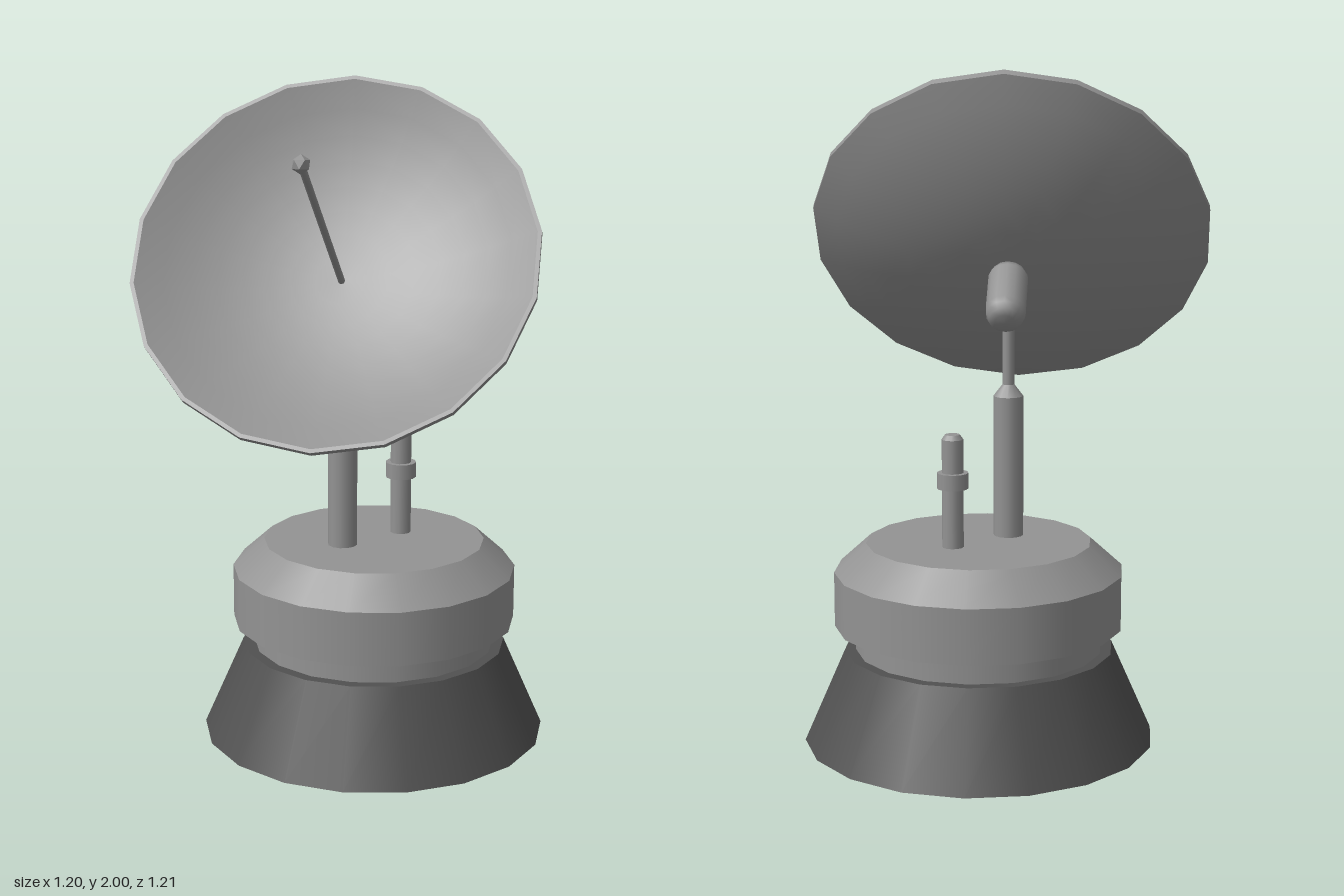
import * as THREE from 'three';

const grey = new THREE.MeshStandardMaterial({ color: 0x939393 });
grey.name = 'lightGrey';
const dark = new THREE.MeshStandardMaterial({ color: 0x515151 });
dark.name = 'darkGrey';

function add(parent, name, geometry, material = grey) {
  const mesh = new THREE.Mesh(geometry, material);
  mesh.name = name;
  parent.add(mesh);
  return mesh;
}

// Upright round section between two heights
function section(parent, name, rBottom, rTop, y0, y1, sides, material) {
  const g = new THREE.CylinderGeometry(rTop, rBottom, y1 - y0, sides);
  return add(parent, name, g.translate(0, (y0 + y1) / 2, 0), material);
}

function subgroup(parent, name, x, y, z) {
  const g = new THREE.Group();
  g.name = name;
  g.position.set(x, y, z);
  parent.add(g);
  return g;
}

function lathe(points, sides) {
  return new THREE.LatheGeometry(points.map(([r, y]) => new THREE.Vector2(r, y)), sides);
}

export function createModel() {
  const model = new THREE.Group();
  model.name = 'satelliteDish';

  // Stepped round base, set off from the mast; the foot has a light underside
  const base = subgroup(model, 'base', 0.08, 0, -0.08);
  section(base, 'foot', 0.528, 0.405, 0, 0.28, 18, [dark, dark, grey]);
  section(base, 'neck', 0.372, 0.372, 0.28, 0.355, 18);
  section(base, 'drum', 0.434, 0.434, 0.355, 0.52, 18);
  section(base, 'drumBevel', 0.434, 0.338, 0.52, 0.607, 18);

  // Mast: thick sleeve, shoulder, thin rod
  const mast = subgroup(model, 'mast', -0.004, 0, -0.004);
  section(mast, 'mastSleeve', 0.045, 0.045, 0.6, 1.035, 12);
  section(mast, 'mastShoulder', 0.045, 0.018, 1.035, 1.07, 12);
  section(mast, 'mastRod', 0.018, 0.018, 1.07, 1.375, 12);

  // Short antenna with collar
  const antenna = subgroup(model, 'antenna', 0.15, 0, -0.16);
  section(antenna, 'antennaPost', 0.032, 0.032, 0.6, 0.932, 12);
  section(antenna, 'antennaTip', 0.032, 0.022, 0.932, 0.946, 12);
  section(antenna, 'antennaCollar', 0.047, 0.047, 0.785, 0.832, 12);

  // Dish assembly, local +y along the dish axis
  const dish = subgroup(model, 'dish', -0.006, 1.515, 0.13);
  dish.rotation.x = 0.946;
  const R = 0.6;
  const lip = 0.588;
  const bowl = (radius, depth, top) => {
    const rs = (radius * radius + depth * depth) / (2 * depth);
    return Array.from({ length: 9 }, (_, i) => {
      const r = (radius * i) / 8;
      return [r, top - depth + rs - Math.sqrt(rs * rs - r * r)];
    });
  };
  add(dish, 'dishBack', lathe(bowl(R, 0.172, -0.02), 18));
  add(dish, 'dishRim', lathe([[R, -0.02], [R, 0]], 18));
  add(dish, 'dishLip', lathe([[R, 0], [lip, 0]], 18));
  add(dish, 'dishFront', lathe(bowl(lip, 0.158, 0).reverse(), 18));

  // Feed rod with faceted tip
  section(dish, 'feedRod', 0.011, 0.011, -0.165, 0.55, 8);
  add(dish, 'feedTip', new THREE.IcosahedronGeometry(0.027, 0).translate(0, 0.555, 0));

  // Rounded motor housing behind the dish
  add(dish, 'motor', lathe([
    [0, -0.4], [0.03, -0.398], [0.048, -0.386], [0.057, -0.366], [0.059, -0.345],
    [0.059, -0.21], [0.05, -0.19], [0, -0.18],
  ], 14));

  return model;
}
